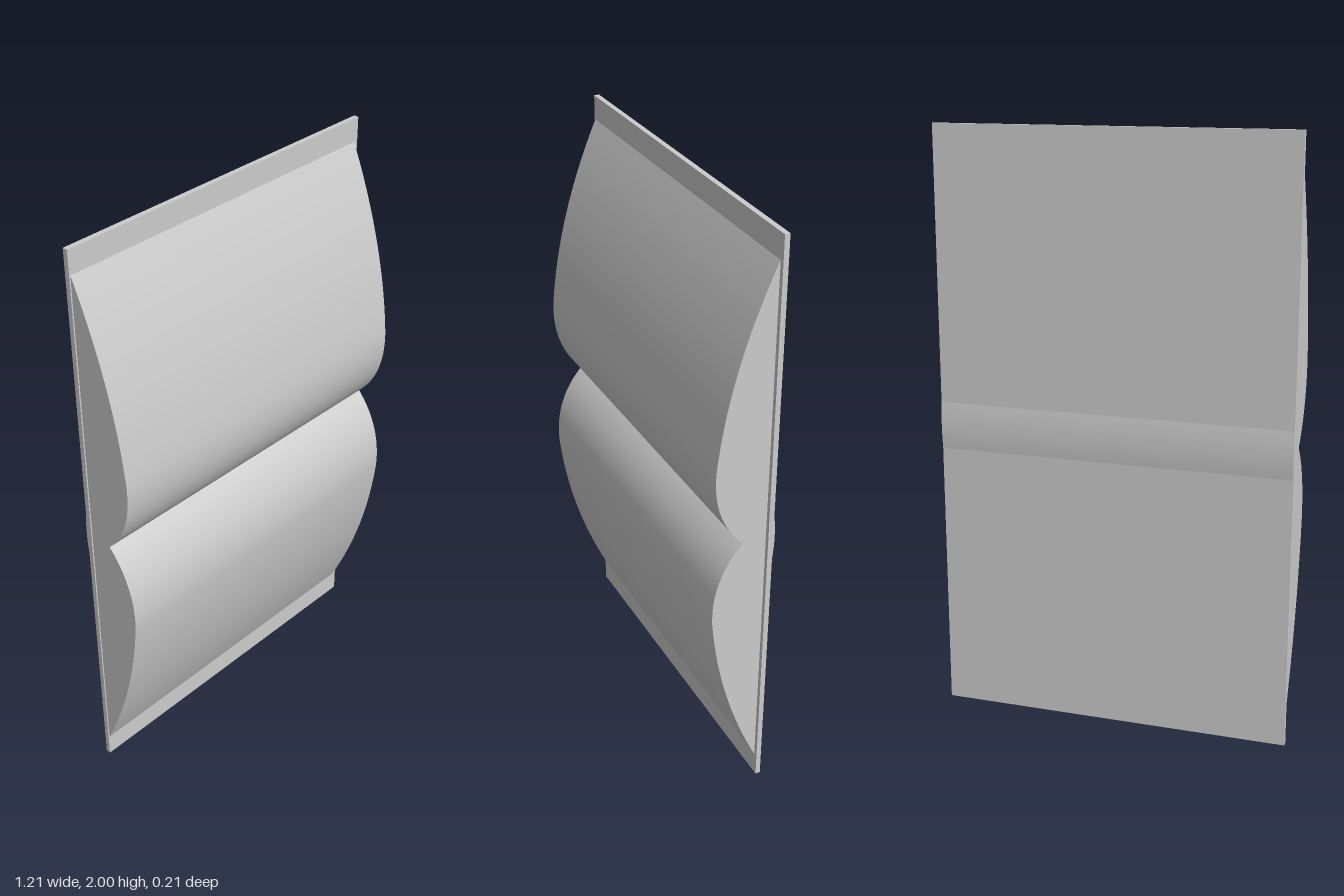
import * as THREE from 'three';
import { toCreasedNormals } from 'three/addons/utils/BufferGeometryUtils.js';

const material = new THREE.MeshStandardMaterial({ color: 0xcccccc });

// Extrude a (z, y) side profile along x, centred on cx
function extrudeX(name, draw, width, cx) {
  const shape = new THREE.Shape();
  draw(shape);
  const geo = new THREE.ExtrudeGeometry(shape, { depth: width, bevelEnabled: false, curveSegments: 16 });
  geo.rotateY(Math.PI / 2); // shape x becomes -z, depth becomes x
  geo.translate(cx - width / 2, 0, 0);
  const mesh = new THREE.Mesh(toCreasedNormals(geo, 0.3), material);
  mesh.name = name;
  return mesh;
}

export function createModel() {
  const book = new THREE.Group();
  book.name = 'openBook';

  const coverWidth = 1.205, pageWidth = 1.186;
  const inner = -0.08, outer = -0.097; // z of the cover faces

  for (const [side, s] of [['upper', 1], ['lower', -1]]) {
    const y = (h) => 1 + s * h; // height measured from the spine

    // Page block: long gentle slope outward, tight roll into the gutter
    book.add(extrudeX(side + 'Pages', (p) => {
      p.moveTo(-inner, y(0));
      p.lineTo(-inner, y(0.92));
      p.quadraticCurveTo(-0.069, y(0.6), -0.098, y(0.28));
      p.quadraticCurveTo(-0.107, y(0.11), 0, y(0));
      p.closePath();
    }, pageWidth, -0.005));

    // Cover board
    const board = new THREE.Mesh(new THREE.BoxGeometry(coverWidth, 0.92, inner - outer), material);
    board.name = side + 'CoverBoard';
    board.position.set(0, y(0.54), (inner + outer) / 2);
    book.add(board);
  }

  // Slightly rounded spine joining the boards
  book.add(extrudeX('spine', (p) => {
    p.moveTo(-inner, 0.92);
    p.lineTo(-outer, 0.92);
    p.quadraticCurveTo(0.107, 1, -outer, 1.08);
    p.lineTo(-inner, 1.08);
    p.closePath();
  }, coverWidth, 0));

  // The book stands very slightly turned
  book.rotation.y = -0.008;

  const model = new THREE.Group();
  model.name = 'book';
  model.add(book);
  return model;
}
